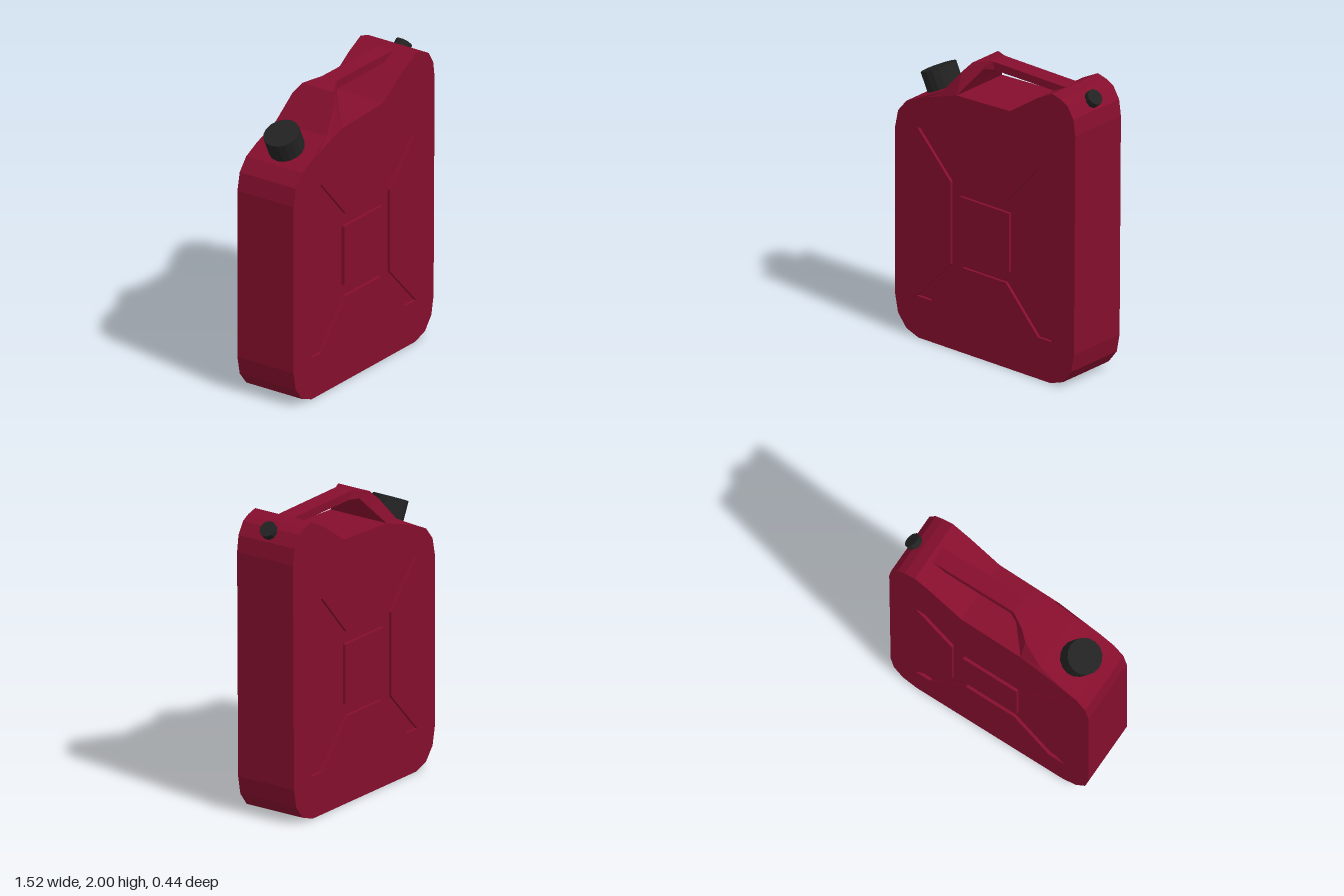
import * as THREE from 'three';

const red = new THREE.MeshStandardMaterial({ color: 0x850e2d });
red.name = 'red paint';
const black = new THREE.MeshStandardMaterial({ color: 0x222222 });
black.name = 'black plastic';

const HALF = 0.22;   // half thickness of the can
const FLOOR = 0.2;   // half thickness at the pressed cross

const toPoints = (list) => list.map(([x, y]) => new THREE.Vector2(x, y));

// Flat slab of a front outline, centred on z = 0
function slab(name, outline, half, hole) {
  const shape = new THREE.Shape(toPoints(outline));
  if (hole) shape.holes.push(new THREE.Path(toPoints(hole)));
  const geometry = new THREE.ExtrudeGeometry(shape, { depth: 2 * half, bevelEnabled: false });
  geometry.translate(0, 0, -half);
  const mesh = new THREE.Mesh(geometry, red);
  mesh.name = name;
  return mesh;
}

// Four-sided loft; each section is [topX, topY, topHalf, bottomX, bottomY, bottomHalf]
function loft(sections) {
  const rings = sections.map(([tx, ty, tw, bx, by, bw]) => [
    [tx, ty, tw], [tx, ty, -tw], [bx, by, -bw], [bx, by, bw],
  ]);
  const pos = [];
  const quad = (a, b, c, d) => pos.push(...a, ...b, ...c, ...a, ...c, ...d);
  for (let i = 0; i < rings.length - 1; i++) {
    for (let k = 0; k < 4; k++) {
      const n = (k + 1) % 4;
      quad(rings[i][k], rings[i + 1][k], rings[i + 1][n], rings[i][n]);
    }
  }
  const first = rings[0], last = rings[rings.length - 1];
  quad(first[0], first[1], first[2], first[3]);
  quad(last[3], last[2], last[1], last[0]);
  const geometry = new THREE.BufferGeometry();
  geometry.setAttribute('position', new THREE.Float32BufferAttribute(pos, 3));
  geometry.computeVertexNormals();
  return geometry;
}

// Tilted cap whose outer face is centred on (x, y)
function cap(name, x, y, radius, length, sides, tilt) {
  const geometry = new THREE.CylinderGeometry(radius, radius, length, sides).toNonIndexed();
  geometry.computeVertexNormals();
  geometry.translate(0, -length / 2, 0);
  const mesh = new THREE.Mesh(geometry, black);
  mesh.name = name;
  mesh.position.set(x, y, 0);
  mesh.rotation.z = tilt;
  return mesh;
}

export function createModel() {
  const group = new THREE.Group();
  group.name = 'fuelCan';

  // Can outline, anticlockwise from the lower left
  const outline = [
    [-0.765, 0.25], [-0.74, 0.125], [-0.67, 0.037], [-0.57, 0],
    [0.54, 0], [0.645, 0.037], [0.713, 0.125], [0.737, 0.25],
    [0.748, 1.76], [0.733, 1.87], [0.685, 1.95], [0.63, 1.98], [0.555, 2],
    [0.43, 1.935], [0.2, 1.78], [-0.25, 1.76], [-0.56, 1.658],
    [-0.67, 1.605], [-0.74, 1.52], [-0.765, 1.4],
  ];
  // Pressed cross
  const cross = [
    [-0.58, 1.45], [-0.465, 1.45], [-0.2, 1.153], [0.175, 1.153],
    [0.435, 1.45], [0.55, 1.45], [0.27, 1.15], [0.27, 0.583],
    [0.55, 0.285], [0.435, 0.285], [0.165, 0.585], [-0.2, 0.585],
    [-0.465, 0.285], [-0.58, 0.285], [-0.3, 0.583], [-0.3, 1.15],
  ];
  const square = [[-0.22, 0.665], [0.19, 0.665], [0.19, 1.07], [-0.22, 1.07]];

  group.add(slab('body', outline, HALF, cross));
  group.add(slab('recessedCross', cross, FLOOR));
  group.add(slab('centrePanel', square, HALF));

  // Handle rising from the shoulder and narrowing to the grip
  const handle = new THREE.Mesh(loft([
    [-0.56, 1.658, HALF, -0.56, 1.62, HALF],
    [-0.38, 1.75, 0.2, -0.38, 1.715, HALF],
    [-0.25, 1.908, 0.165, -0.25, 1.76, HALF],
    [-0.2, 1.97, 0.125, -0.19, 1.848, 0.155],
    [-0.1, 1.99, 0.065, -0.13, 1.935, 0.09],
    [-0.08, 1.99, 0.06, -0.07, 1.935, 0.06],
    [0.56, 1.985, 0.06, 0.46, 1.935, 0.06],
  ]), red);
  handle.name = 'handle';
  group.add(handle);

  // Filler cap and small vent cap
  group.add(cap('fillerCap', -0.593, 1.795, 0.119, 0.18, 16, 0.44));
  group.add(cap('ventCap', 0.7225, 1.955, 0.056, 0.1, 10, -0.82));

  return group;
}
